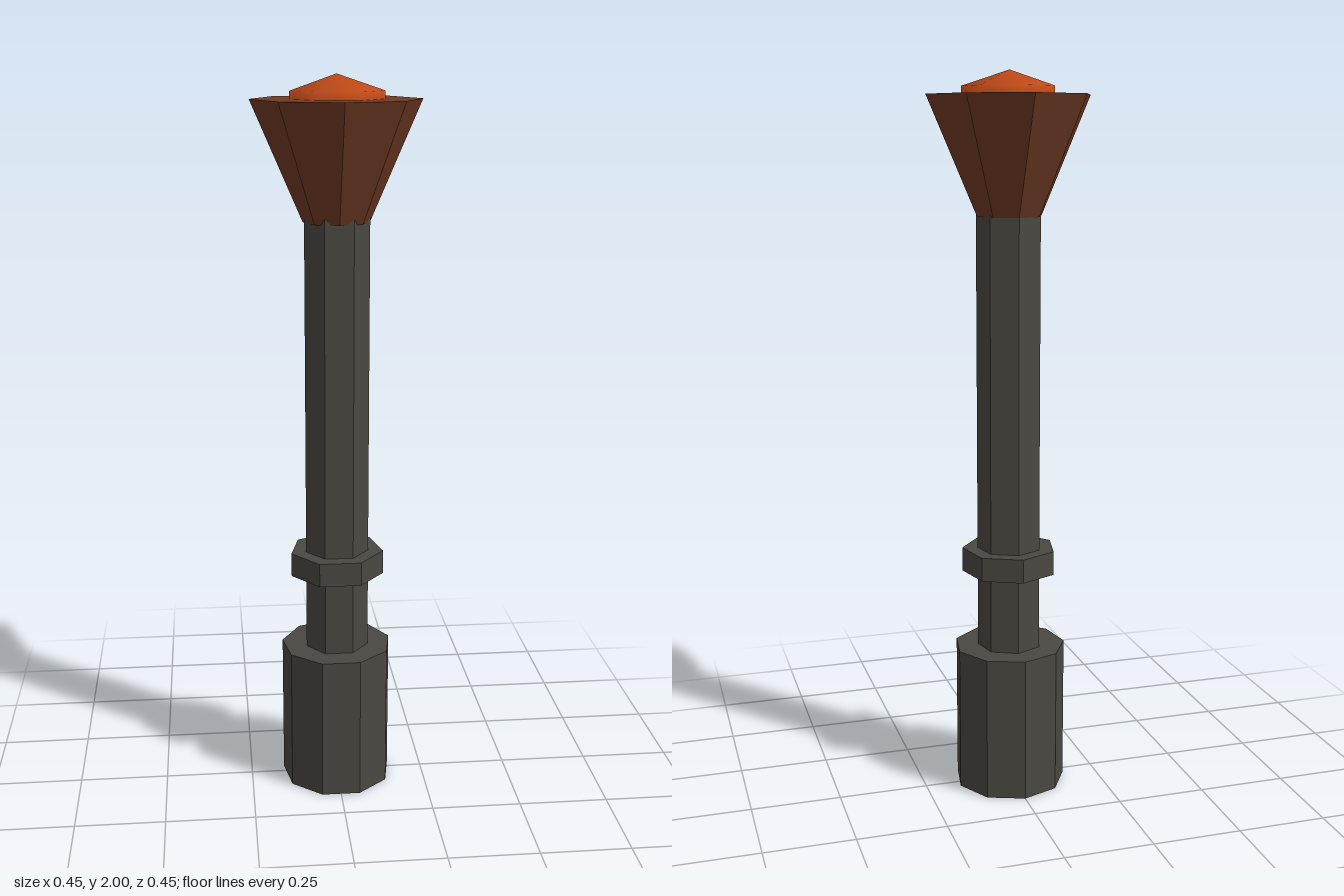
import * as THREE from 'three';

const iron = new THREE.MeshStandardMaterial({ color: 0x4a4842, flatShading: true });
const copper = new THREE.MeshStandardMaterial({ color: 0x703b24, flatShading: true });
const glow = new THREE.MeshStandardMaterial({ color: 0xc04a18 });

// Faceted prism or cone between two heights, with one corner pointing to -z
function prism(name, material, sides, bottomRadius, topRadius, y0, y1) {
  const geometry = new THREE.CylinderGeometry(topRadius, bottomRadius, y1 - y0, sides);
  geometry.rotateY(Math.PI);
  geometry.translate(0, (y0 + y1) / 2, 0);
  const mesh = new THREE.Mesh(geometry, material);
  mesh.name = name;
  return mesh;
}

export function createModel() {
  const model = new THREE.Group();
  model.name = 'torch';

  // Handle: wide grip, slim shaft and a collar
  model.add(prism('grip', iron, 9, 0.157, 0.157, 0, 0.41));
  model.add(prism('shaft', iron, 7, 0.09, 0.09, 0.4, 1.64));
  model.add(prism('collar', iron, 7, 0.133, 0.133, 0.63, 0.697));

  // Flared head
  model.add(prism('head', copper, 8, 0.09, 0.227, 1.62, 1.937));

  // Flattened, smooth ember sunk into the head
  const emberGeometry = new THREE.SphereGeometry(0.147, 7, 3);
  emberGeometry.rotateY(-Math.PI / 2);
  emberGeometry.scale(1, 0.57, 1);
  const ember = new THREE.Mesh(emberGeometry, glow);
  ember.name = 'ember';
  ember.position.y = 2 - 0.147 * 0.57;
  model.add(ember);

  return model;
}
